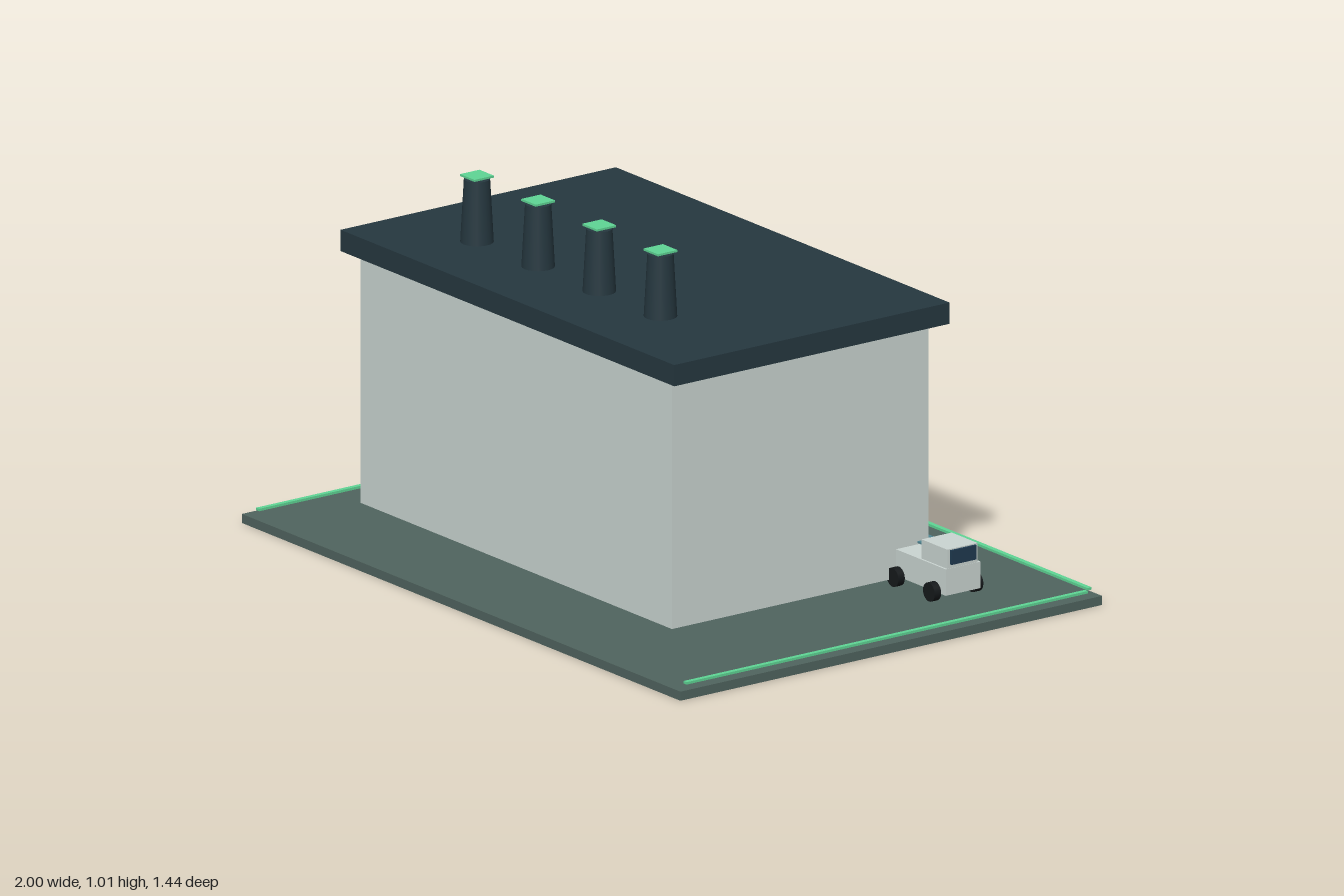
import * as THREE from 'three';

const mat = (color) => new THREE.MeshStandardMaterial({ color });
const WALL = mat(0xcbd6d2), DARK = mat(0x263840), PAVING = mat(0x50645f);
const GREEN = mat(0x5fd695), RUBBER = mat(0x15191b), GLASS = mat(0x1f3a50), TRIM = mat(0x4f8592);

// Box given by its lower and upper limits on each axis
function box(name, material, [x0, x1], [y0, y1], [z0, z1]) {
  const mesh = new THREE.Mesh(new THREE.BoxGeometry(x1 - x0, y1 - y0, z1 - z0), material);
  mesh.name = name;
  mesh.position.set((x0 + x1) / 2, (y0 + y1) / 2, (z0 + z1) / 2);
  return mesh;
}

function createTruck() {
  const truck = new THREE.Group();
  truck.name = 'truck';
  truck.add(
    box('truckBody', WALL, [0.555, 0.812], [0.053, 0.129], [-0.446, -0.327]),
    box('truckCab', WALL, [0.694, 0.811], [0.129, 0.184], [-0.436, -0.333]),
    box('windshield', GLASS, [0.806, 0.818], [0.14, 0.181], [-0.428, -0.343]),
    box('bedPlate', TRIM, [0.555, 0.635], [0.133, 0.138], [-0.462, -0.4])
  );
  // Four wheels outside the body
  const wheelGeometry = new THREE.CylinderGeometry(0.027, 0.027, 0.022, 20).rotateX(Math.PI / 2);
  for (const x of [0.601, 0.767]) {
    for (const z of [-0.458, -0.314]) {
      const wheel = new THREE.Mesh(wheelGeometry, RUBBER);
      wheel.name = 'wheel';
      wheel.position.set(x, 0.057, z);
      truck.add(wheel);
    }
  }
  return truck;
}

export function createModel() {
  const model = new THREE.Group();
  model.name = 'factory';

  // Ground slab, building and overhanging flat roof
  model.add(
    box('groundSlab', PAVING, [-1, 1], [0, 0.026], [-0.72, 0.72]),
    box('building', WALL, [-0.835, 0.585], [0.046, 0.755], [-0.438, 0.438]),
    box('roof', DARK, [-0.884, 0.638], [0.762, 0.823], [-0.47, 0.47]),
    box('rearSign', GREEN, [-0.468, 0.222], [0.304, 0.438], [-0.449, -0.436])
  );

  // Thin border strips along the back and both sides
  model.add(box('backStrip', GREEN, [-0.96, 0.96], [0.035, 0.042], [-0.714, -0.7]));
  for (const s of [-1, 1]) {
    model.add(box('sideStrip', GREEN, [s * 0.975 - 0.007, s * 0.975 + 0.007], [0.035, 0.042], [-0.685, 0.685]));
  }

  // Row of tapered chimneys with square caps
  const stackGeometry = new THREE.CylinderGeometry(0.036, 0.046, 0.18, 20);
  for (let i = 0; i < 4; i++) {
    const x = -0.577 + i * 0.279, z = 0.234;
    const stack = new THREE.Mesh(stackGeometry, DARK);
    stack.name = 'chimney';
    stack.position.set(x, 0.913, z);
    model.add(stack, box('chimneyCap', GREEN, [x - 0.033, x + 0.033], [1.008, 1.014], [z - 0.033, z + 0.033]));
  }

  model.add(createTruck());
  return model;
}
